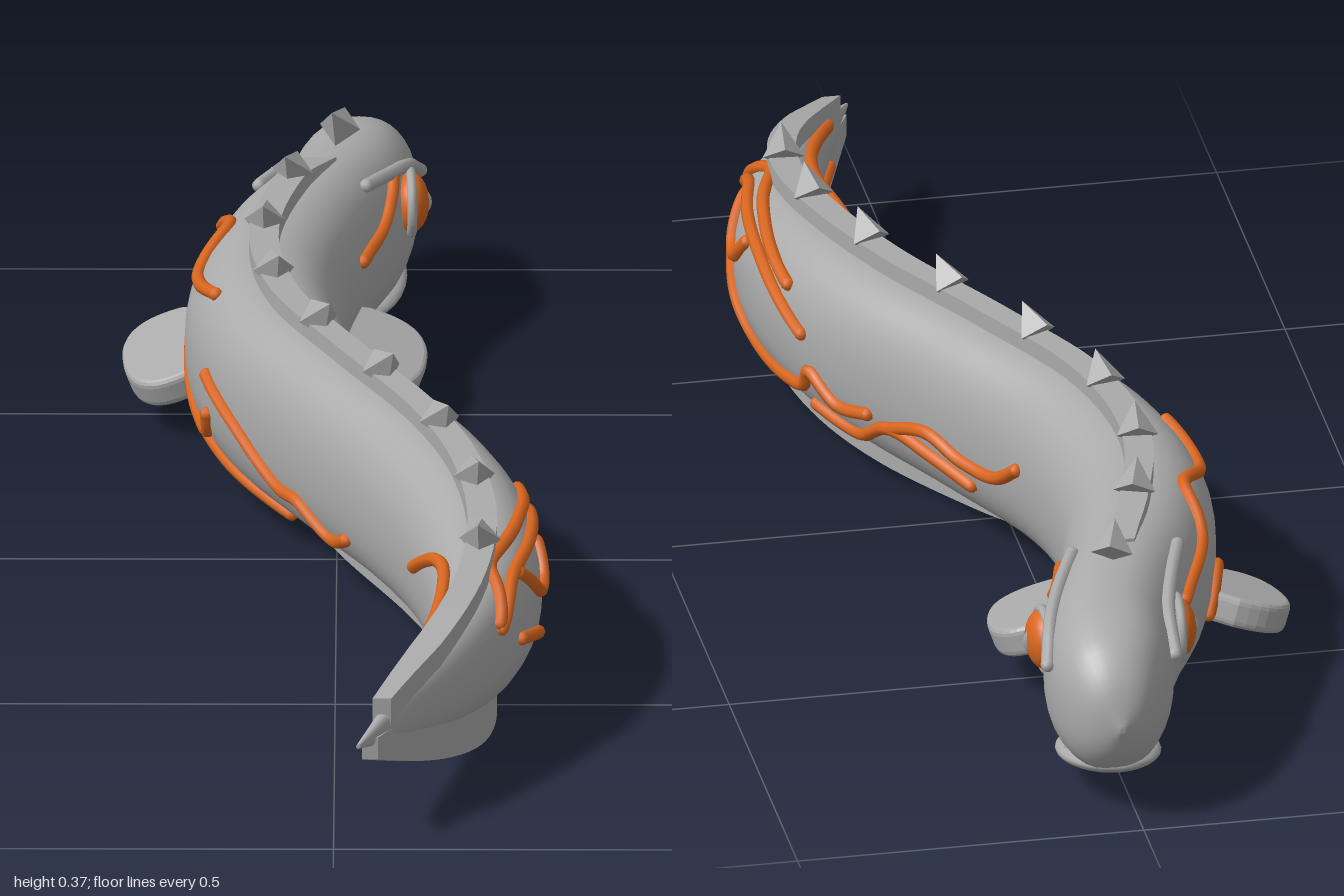
import * as THREE from 'three';

const skin = new THREE.MeshStandardMaterial({ color: 0xaaaaaa });
skin.name = 'greySkin';
const glow = new THREE.MeshStandardMaterial({ color: 0xd9661f });
glow.name = 'orangeMarking';

// Body stations: z, then centre x, half width, top y, bottom y
const stations = [
  [-1, 0.03, 0.004, 0.17, 0.16], [-0.985, 0.03, 0.035, 0.215, 0.12],
  [-0.95, 0.03, 0.065, 0.26, 0.08], [-0.9, 0.025, 0.085, 0.285, 0.06],
  [-0.8, 0.01, 0.096, 0.3, 0.042], [-0.7, -0.025, 0.101, 0.31, 0.038],
  [-0.6, -0.065, 0.108, 0.312, 0.035], [-0.4, -0.105, 0.112, 0.312, 0.033],
  [-0.2, -0.075, 0.11, 0.312, 0.035], [0, 0.02, 0.11, 0.312, 0.04],
  [0.2, 0.125, 0.108, 0.31, 0.045], [0.35, 0.18, 0.1, 0.305, 0.05],
  [0.5, 0.207, 0.086, 0.29, 0.06], [0.6, 0.205, 0.07, 0.275, 0.07],
  [0.7, 0.185, 0.055, 0.255, 0.085], [0.8, 0.145, 0.038, 0.23, 0.105],
  [0.9, 0.09, 0.02, 0.2, 0.13], [1, 0.035, 0.003, 0.167, 0.16],
];
const spline = new THREE.CubicInterpolant(
  stations.map((s) => s[0]), stations.flatMap((s) => s.slice(1)), 4);
function bodyAt(z) {
  const [cx, w, top, bottom] = spline.evaluate(z);
  return { cx, w, top, bottom, cy: (top + bottom) / 2, h: (top - bottom) / 2 };
}

const POWER = 2.3;
// Point on the flank at a given z and y; side is +1 or -1
function flank(z, y, side, lift = 0) {
  const b = bodyAt(z);
  const t = Math.min(0.99, Math.abs((y - b.cy) / b.h));
  const x = b.w * Math.pow(1 - Math.pow(t, POWER), 1 / POWER) + lift;
  return new THREE.Vector3(b.cx + side * x, y, z);
}

// Skin a row of equal rings that run towards +z, and cap both ends
function loft(rings, flat = false) {
  const n = rings[0].length;
  const pos = rings.flat().flatMap((p) => [p.x, p.y, p.z]);
  const index = [];
  for (let i = 0; i < rings.length - 1; i++) {
    for (let j = 0; j < n; j++) {
      const a = i * n + j, b = i * n + (j + 1) % n;
      index.push(a, b, a + n, b, b + n, a + n);
    }
  }
  const last = (rings.length - 1) * n;
  for (let j = 1; j < n - 1; j++) {
    index.push(0, j + 1, j, last, last + j, last + j + 1);
  }
  let geo = new THREE.BufferGeometry();
  geo.setAttribute('position', new THREE.Float32BufferAttribute(pos, 3));
  geo.setIndex(index);
  if (flat) geo = geo.toNonIndexed();
  geo.computeVertexNormals();
  return geo;
}

function add(parent, name, geo, mat) {
  const mesh = new THREE.Mesh(geo, mat);
  mesh.name = name;
  parent.add(mesh);
  return mesh;
}

function bodyGeometry() {
  const rings = [];
  for (let i = 0; i <= 110; i++) {
    const z = -Math.cos((i / 110) * Math.PI);
    const b = bodyAt(z);
    const ring = [];
    for (let j = 0; j < 36; j++) {
      const a = (j / 36) * Math.PI * 2, c = Math.cos(a), s = Math.sin(a);
      ring.push(new THREE.Vector3(
        b.cx + b.w * Math.sign(c) * Math.pow(Math.abs(c), 2 / POWER),
        b.cy + b.h * Math.sign(s) * Math.pow(Math.abs(s), 2 / POWER), z));
    }
    rings.push(ring);
  }
  return loft(rings);
}

// Thin keel that follows the spine; span gives its lower and upper edge
function keelGeometry(z0, z1, span) {
  const rings = [];
  for (let i = 0; i <= 60; i++) {
    const z = z0 + (z1 - z0) * (i / 60);
    const b = bodyAt(z);
    const [lo, hi] = span(z, b);
    const w = Math.min(0.021, 0.008 + b.w * 0.4);
    rings.push([[w, lo], [w, hi], [-w, hi], [-w, lo]]
      .map(([x, y]) => new THREE.Vector3(b.cx + x, y, z)));
  }
  return loft(rings, true);
}

// Raised marking through a few z, y points on one flank
function addMarking(parent, side, points) {
  const path = new THREE.SplineCurve(points.map(([z, y]) => new THREE.Vector2(z, y)));
  const curve = new THREE.CatmullRomCurve3(
    path.getPoints(28).map((p) => flank(p.x, p.y, side, 0.002)));
  add(parent, 'marking', new THREE.TubeGeometry(curve, 48, 0.01, 8), glow);
  for (const t of [0, 1]) {
    add(parent, 'markingEnd', new THREE.SphereGeometry(0.01, 8, 6), glow)
      .position.copy(curve.getPoint(t));
  }
}

export function createModel() {
  const model = new THREE.Group();
  model.name = 'eel';
  add(model, 'body', bodyGeometry(), skin);

  // Back and belly keels
  add(model, 'backFin', keelGeometry(-0.7, 0.94,
    (z, b) => [b.cy, b.top + 0.024 * Math.min(1, (z + 0.72) * 8)]), skin);
  const belly = new THREE.CubicInterpolant(
    [-0.14, 0, 0.15, 0.35, 0.55, 0.7, 0.85, 0.97],
    [0.04, 0.018, 0.008, 0.004, 0.01, 0.03, 0.075, 0.13], 1);
  add(model, 'bellyFin', keelGeometry(-0.14, 0.97,
    (z, b) => [belly.evaluate(z)[0], b.cy]), skin);

  // Row of spikes leaning towards the tail
  const spikes = new THREE.Group();
  spikes.name = 'backSpikes';
  for (let i = 0; i < 9; i++) {
    const z = -0.77 + i * 0.17;
    const b = bodyAt(z);
    const geo = new THREE.ConeGeometry(0.03, 0.052, 4).toNonIndexed();
    geo.computeVertexNormals();
    geo.translate(0, 0.026, 0);
    geo.rotateX(Math.PI / 4);
    const spike = add(spikes, 'spike', geo, skin);
    spike.position.set(b.cx, b.top + 0.026, z);
    spike.rotation.y = Math.atan2(bodyAt(z + 0.02).cx - bodyAt(z - 0.02).cx, 0.04);
  }
  model.add(spikes);

  // Lower jaw with small teeth
  const jaw = new THREE.Group();
  jaw.name = 'lowerJaw';
  add(jaw, 'jaw', new THREE.SphereGeometry(1, 28, 16), skin).scale.set(0.074, 0.022, 0.11);
  for (let i = 0; i < 8; i++) {
    const a = Math.PI * (1.05 + (i / 7) * 0.9);
    add(jaw, 'tooth', new THREE.ConeGeometry(0.006, 0.03, 6), skin)
      .position.set(Math.cos(a) * 0.064, 0.012, Math.sin(a) * 0.095);
  }
  jaw.position.set(0.022, 0.063, -0.85);
  jaw.rotation.x = 0.2;
  model.add(jaw);

  for (const side of [1, -1]) {
    // Eye with rim, slit pupil and brow
    const eye = new THREE.Group();
    eye.name = side > 0 ? 'leftEye' : 'rightEye';
    add(eye, 'eyeball', new THREE.SphereGeometry(0.043, 24, 16), glow).scale.z = 0.6;
    add(eye, 'eyeRim', new THREE.TorusGeometry(0.044, 0.007, 8, 32), skin);
    add(eye, 'pupil', new THREE.SphereGeometry(1, 12, 10), skin)
      .scale.set(0.008, 0.027, 0.03);
    eye.position.copy(flank(-0.78, 0.208, side, 0.002));
    eye.rotation.set(0, side * 1.62, 0);
    model.add(eye);

    const browPath = new THREE.CatmullRomCurve3([[-0.67, 0.283], [-0.74, 0.27],
      [-0.81, 0.252], [-0.875, 0.215]].map(([z, y]) => flank(z, y, side, 0.006)));
    add(model, 'brow', new THREE.TubeGeometry(browPath, 20, 0.01, 8), skin);
    for (const t of [0, 1]) {
      add(model, 'browEnd', new THREE.SphereGeometry(0.01, 8, 6), skin)
        .position.copy(browPath.getPoint(t));
    }

    // Paddle fin
    const s = new THREE.Shape();
    s.moveTo(0.05 * side, -0.05);
    s.lineTo(0.13 * side, -0.08);
    s.quadraticCurveTo(0.215 * side, -0.085, 0.215 * side, -0.01);
    s.quadraticCurveTo(0.215 * side, 0.08, 0.16 * side, 0.08);
    s.quadraticCurveTo(0.12 * side, 0.08, 0.05 * side, 0.04);
    const fin = new THREE.ExtrudeGeometry(s, { depth: 0.024, bevelEnabled: true,
      bevelThickness: 0.01, bevelSize: 0.008, bevelSegments: 3, curveSegments: 10 });
    fin.translate(0, 0, -0.012);
    fin.rotateX(Math.PI / 2 + 0.18);
    fin.rotateZ(-side * 0.33);
    add(model, side > 0 ? 'leftFin' : 'rightFin', fin, skin).position.set(-0.09, 0.145, -0.495);
  }

  // Branching markings on each flank, as z, y points
  const markings = new THREE.Group();
  markings.name = 'markings';
  const left = [
    [[0.7, 0.22], [0.62, 0.27], [0.46, 0.277], [0.3, 0.25]],
    [[0.7, 0.212], [0.6, 0.255], [0.41, 0.25], [0.24, 0.2]],
    [[0.59, 0.25], [0.54, 0.2], [0.5, 0.2], [0.46, 0.24]],
    [[0.64, 0.17], [0.54, 0.135], [0.43, 0.095], [0.26, 0.11], [0.22, 0.15], [0.165, 0.12], [0.1, 0.135]],
    [[0.235, 0.09], [0.14, 0.085], [0.06, 0.13], [-0.02, 0.125], [-0.1, 0.11]],
    [[0.06, 0.13], [-0.02, 0.16], [-0.09, 0.145], [-0.16, 0.15], [-0.22, 0.19]],
    [[-0.57, 0.21], [-0.65, 0.215], [-0.71, 0.24], [-0.75, 0.262]],
  ];
  const right = [
    [[-0.72, 0.22], [-0.6, 0.25], [-0.51, 0.295], [-0.4, 0.265], [-0.29, 0.285]],
    [[-0.58, 0.12], [-0.52, 0.165], [-0.44, 0.115], [-0.32, 0.085], [-0.23, 0.1], [-0.2, 0.14]],
    [[-0.35, 0.09], [-0.2, 0.07], [-0.05, 0.052]],
    [[-0.2, 0.2], [-0.1, 0.165], [0, 0.12], [0.06, 0.12], [0.12, 0.09], [0.18, 0.115]],
    [[0.46, 0.2], [0.55, 0.25], [0.66, 0.245], [0.87, 0.2]],
    [[0.5, 0.1], [0.68, 0.11], [0.87, 0.135]],
  ];
  left.forEach((p) => addMarking(markings, 1, p));
  right.forEach((p) => addMarking(markings, -1, p));
  model.add(markings);
  return model;
}
